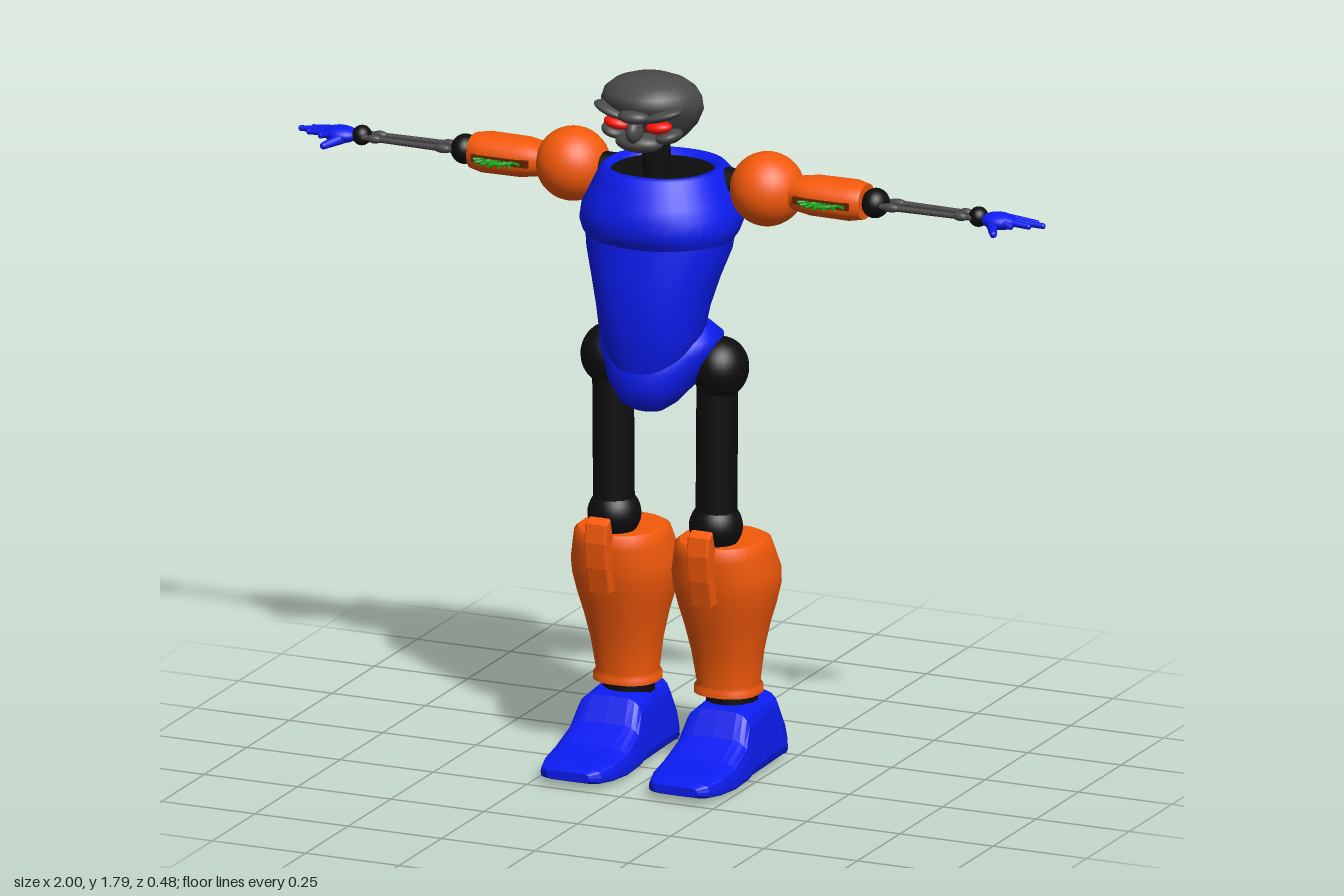
import * as THREE from 'three';

const mat = (color, flat = false) =>
  new THREE.MeshStandardMaterial({ color, flatShading: flat, side: THREE.DoubleSide });
const BLUE = mat(0x0c1cf0), BLUE_FLAT = mat(0x0c1cf0, true), ORANGE = mat(0xf55a0a), BLACK = mat(0x0d0d0d);
const GREY = mat(0x4a4a4a), RED = mat(0xff1408), GREEN = mat(0x18a018), SLOT = mat(0x6a2404);

// Skin over rows of [y, halfWidth, zFront, zBack]; n sets how boxy the outline is
function loft(rows, n = 2, segs = 36) {
  const pos = [], idx = [];
  const ring = ([y, rx, zf, zb]) => {
    for (let j = 0; j < segs; j++) {
      const a = (j / segs) * Math.PI * 2, s = Math.sin(a), c = Math.cos(a);
      const px = Math.sign(s) * Math.abs(s) ** (2 / n), pz = Math.sign(c) * Math.abs(c) ** (2 / n);
      pos.push(rx * px, y, (zf + zb) / 2 + ((zf - zb) / 2) * pz);
    }
  };
  rows.forEach(ring);
  for (let i = 0; i < rows.length - 1; i++) {
    for (let j = 0; j < segs; j++) {
      const k = (j + 1) % segs, a = i * segs, b = a + segs;
      idx.push(a + j, a + k, b + k, a + j, b + k, b + j);
    }
  }
  // End caps with their own vertices, so their edges stay sharp
  [rows[0], rows[rows.length - 1]].forEach((r, end) => {
    const base = pos.length / 3;
    ring(r);
    pos.push(0, r[0], (r[2] + r[3]) / 2);
    for (let j = 0; j < segs; j++) {
      const k = (j + 1) % segs;
      idx.push(base + segs, base + (end ? j : k), base + (end ? k : j));
    }
  });
  const g = new THREE.BufferGeometry();
  g.setAttribute('position', new THREE.Float32BufferAttribute(pos, 3));
  g.setIndex(idx);
  g.computeVertexNormals();
  return g;
}

function add(parent, name, geometry, material, x = 0, y = 0, z = 0) {
  const m = new THREE.Mesh(geometry, material);
  m.name = name;
  m.position.set(x, y, z);
  parent.add(m);
  return m;
}

const ball = (r) => new THREE.SphereGeometry(r, 32, 20);
function blob(parent, name, material, p, size, tilt = 0) {
  const m = add(parent, name, ball(1), material, ...p);
  m.scale.set(...size);
  m.rotation.z = tilt;
  return m;
}

// Rod between two points
function rod(parent, name, material, a, b, r0, r1 = r0) {
  const p = new THREE.Vector3(...a), d = new THREE.Vector3(...b).sub(p);
  const m = add(parent, name, new THREE.CylinderGeometry(r1, r0, d.length(), 14), material);
  m.position.copy(p).addScaledVector(d, 0.5);
  m.quaternion.setFromUnitVectors(new THREE.Vector3(0, 1, 0), d.normalize());
  return m;
}

function makeHead() {
  const g = new THREE.Group();
  g.name = 'head';
  const skull = loft([
    [1.612, 0.05, 0.07, -0.025], [1.635, 0.078, 0.12, -0.045], [1.665, 0.105, 0.14, -0.058],
    [1.70, 0.122, 0.16, -0.06], [1.73, 0.125, 0.18, -0.055], [1.755, 0.115, 0.178, -0.04],
    [1.775, 0.09, 0.15, -0.01], [1.787, 0.055, 0.115, 0.02], [1.79, 0.02, 0.08, 0.05]], 2, 48);
  // Shallow furrows around the cranium
  const p = skull.attributes.position;
  for (let i = 0; i < p.count; i++) {
    const x = p.getX(i), y = p.getY(i), z = p.getZ(i);
    const k = 1 + 0.015 * Math.sin(y * 60 + z * 45) * Math.cos(z * 50);
    p.setXYZ(i, x * k, y, 0.06 + (z - 0.06) * k);
  }
  skull.computeVertexNormals();
  add(g, 'skull', skull, GREY);
  blob(g, 'jaw', GREY, [0, 1.637, 0.135], [0.062, 0.026, 0.045]);
  blob(g, 'nose', GREY, [0, 1.67, 0.165], [0.02, 0.03, 0.03]);
  blob(g, 'brow', GREY, [0, 1.71, 0.17], [0.04, 0.018, 0.03]);
  for (const s of [-1, 1]) {
    blob(g, 'browRidge', GREY, [s * 0.063, 1.712, 0.145], [0.055, 0.014, 0.035], s * 0.3);
    blob(g, 'eye', RED, [s * 0.056, 1.682, 0.145], [0.034, 0.016, 0.025], s * 0.15);
    blob(g, 'cheek', GREY, [s * 0.072, 1.655, 0.12], [0.034, 0.017, 0.04], s * 0.3);
  }
  rod(g, 'neck', BLACK, [0, 1.44, 0.03], [0, 1.65, 0.04], 0.036);
  return g;
}

function makeTorso() {
  const g = new THREE.Group();
  g.name = 'torso';
  add(g, 'abdomen', loft([
    [1.04, 0.07, 0.16, 0.02], [1.09, 0.11, 0.17, -0.03], [1.14, 0.128, 0.178, -0.055],
    [1.20, 0.137, 0.183, -0.075], [1.27, 0.155, 0.182, -0.105], [1.34, 0.178, 0.172, -0.135],
    [1.39, 0.185, 0.165, -0.14]], 2.3), BLUE);
  add(g, 'chest', loft([
    [1.365, 0.18, 0.165, -0.14], [1.385, 0.193, 0.178, -0.16], [1.41, 0.2, 0.189, -0.18],
    [1.445, 0.198, 0.188, -0.205], [1.475, 0.185, 0.177, -0.217], [1.51, 0.168, 0.16, -0.19],
    [1.54, 0.15, 0.145, -0.155], [1.545, 0.135, 0.13, -0.135], [1.525, 0.125, 0.12, -0.12]], 2.2), BLUE);
  add(g, 'collarOpening', loft([[1.52, 0.126, 0.12, -0.12], [1.53, 0.126, 0.12, -0.12]], 2.2), BLACK);
  add(g, 'pelvis', loft([
    [0.945, 0.04, 0.115, 0.05], [0.965, 0.07, 0.148, 0.01], [1.01, 0.108, 0.165, -0.07],
    [1.05, 0.128, 0.163, -0.115], [1.09, 0.15, 0.15, -0.133], [1.12, 0.155, 0.125, -0.115],
    [1.15, 0.13, 0.08, -0.07]], 2.2), BLUE);
  return g;
}

function makeArm(s) {
  const g = new THREE.Group();
  g.name = s > 0 ? 'leftArm' : 'rightArm';
  g.position.set(0, 1.5, -0.045);
  add(g, 'shoulder', ball(0.092), ORANGE, s * 0.26);
  rod(g, 'shoulderJoint', BLACK, [s * 0.13, 0, 0], [s * 0.2, 0, 0], 0.04);
  add(g, 'upperArm', loft([
    [0.32, 0.036, 0.042, -0.042], [0.35, 0.042, 0.053, -0.053], [0.39, 0.048, 0.063, -0.063],
    [0.49, 0.049, 0.063, -0.063], [0.525, 0.043, 0.048, -0.048]], 2.3), ORANGE).rotation.z = -s * Math.PI / 2;
  add(g, 'gearSlot', new THREE.BoxGeometry(0.15, 0.018, 0.02), SLOT, s * 0.43, 0, 0.056);

  // Toothed wheel half sunk in the slot
  const gear = new THREE.Group();
  gear.name = 'gear';
  gear.position.set(s * 0.435, 0, 0.047);
  add(gear, 'gearRim', new THREE.TorusGeometry(0.043, 0.005, 8, 32), GREEN).rotation.x = Math.PI / 2;
  for (let i = 0; i < 16; i++) {
    const a = (i / 16) * Math.PI * 2, c = Math.cos(a), d = Math.sin(a);
    rod(gear, 'gearTooth', GREEN, [c * 0.02, 0, d * 0.02], [c * 0.066, 0, d * 0.066], 0.004);
  }
  g.add(gear);

  blob(g, 'elbow', BLACK, [s * 0.55, 0, 0], [0.034, 0.037, 0.04]);
  for (const z of [-0.022, 0.022]) {
    rod(g, 'forearmRod', GREY, [s * 0.56, 0, z], [s * 0.82, 0, z * 0.8], 0.008, 0.007);
    blob(g, 'rodEnd', GREY, [s * 0.60, 0, z], [0.025, 0.011, 0.011]);
    blob(g, 'rodEnd', GREY, [s * 0.785, 0, z * 0.82], [0.02, 0.011, 0.011]);
  }
  blob(g, 'wrist', BLACK, [s * 0.826, 0, 0], [0.024, 0.025, 0.026]);

  // Hand, palm down, thumb forward
  blob(g, 'palm', BLUE, [s * 0.882, -0.003, 0.002], [0.046, 0.021, 0.036]);
  [0.93, 0.97, 1, 0.975].map((tip, i) => [tip - 0.007, 0.028 - i * 0.019]).forEach(([tip, z]) => {
    rod(g, 'finger', BLUE, [s * 0.895, 0, z * 0.8], [s * (tip + 0.006 * (tip < 0.95)), -0.006, z], 0.01, 0.007);
    add(g, 'fingerTip', ball(0.0075), BLUE, s * tip, -0.006, z);
  });
  rod(g, 'thumb', BLUE, [s * 0.87, -0.008, 0.02], [s * 0.897, -0.017, 0.07], 0.014, 0.009);
  add(g, 'thumbTip', ball(0.009), BLUE, s * 0.897, -0.017, 0.07);
  return g;
}

function makeLeg(s) {
  const g = new THREE.Group();
  g.name = s > 0 ? 'leftLeg' : 'rightLeg';
  blob(g, 'hipJoint', BLACK, [s * 0.148, 1.04, -0.013], [0.07, 0.077, 0.077]);
  rod(g, 'thigh', BLACK, [s * 0.137, 0.62, -0.015], [s * 0.14, 1.04, -0.015], 0.052);
  add(g, 'knee', ball(0.066), BLACK, s * 0.136, 0.635, -0.015);
  add(g, 'shin', loft([
    [0.195, 0.083, -0.012, -0.172], [0.21, 0.083, -0.012, -0.172], [0.22, 0.076, -0.018, -0.166],
    [0.30, 0.087, -0.003, -0.172], [0.37, 0.102, 0.018, -0.188], [0.42, 0.116, 0.035, -0.205],
    [0.47, 0.127, 0.05, -0.219], [0.51, 0.128, 0.058, -0.215], [0.56, 0.117, 0.064, -0.196],
    [0.585, 0.112, 0.064, -0.184], [0.595, 0.1, 0.055, -0.165]], 2.3), ORANGE, s * 0.135);

  // Knee guard: side profile (z, y) given a width
  const guard = new THREE.Shape([[0.03, 0.45], [0.07, 0.455], [0.088, 0.52], [0.096, 0.585], [0.09, 0.63],
    [0.07, 0.64], [0.058, 0.6], [0.03, 0.56]].map(([z, y]) => new THREE.Vector2(z, y)));
  const guardGeo = new THREE.ExtrudeGeometry(guard, {
    depth: 0.046, bevelEnabled: true, bevelSize: 0.003, bevelThickness: 0.006, bevelSegments: 2 });
  guardGeo.rotateY(-Math.PI / 2).translate(0.023, 0, 0);
  add(g, 'kneeGuard', guardGeo, ORANGE, s * 0.137);

  rod(g, 'ankle', BLACK, [s * 0.138, 0.13, -0.105], [s * 0.138, 0.22, -0.105], 0.065);

  // Foot: sections along z as [z, halfWidth, bottom, top], narrowing with height
  const foot = loft([
    [-0.24, 0.08, 0.015, 0.05], [-0.225, 0.093, 0, 0.1], [-0.19, 0.1, 0, 0.177], [-0.1, 0.104, 0, 0.178],
    [-0.01, 0.106, 0, 0.168], [0.025, 0.107, 0, 0.108], [0.1, 0.106, 0, 0.072], [0.17, 0.1, 0.006, 0.058],
    [0.22, 0.085, 0.012, 0.05], [0.24, 0.06, 0.02, 0.042],
  ].map(([z, w, lo, hi]) => [z, w, -lo, -hi]), 4.5, 20);
  foot.rotateX(Math.PI / 2);
  const p = foot.attributes.position;
  for (let i = 0; i < p.count; i++) p.setX(i, p.getX(i) * (1 - 1.4 * p.getY(i)));
  // Rows run heel to toe with bottom and top swapped, so turn the faces outward
  const f = foot.index.array;
  for (let i = 0; i < f.length; i += 3) [f[i], f[i + 1]] = [f[i + 1], f[i]];
  foot.computeVertexNormals();
  add(g, 'foot', foot, BLUE_FLAT, s * 0.145);
  return g;
}

export function createModel() {
  const model = new THREE.Group();
  model.name = 'robot';
  model.add(makeHead(), makeTorso());
  for (const s of [-1, 1]) model.add(makeArm(s), makeLeg(s));
  return model;
}
